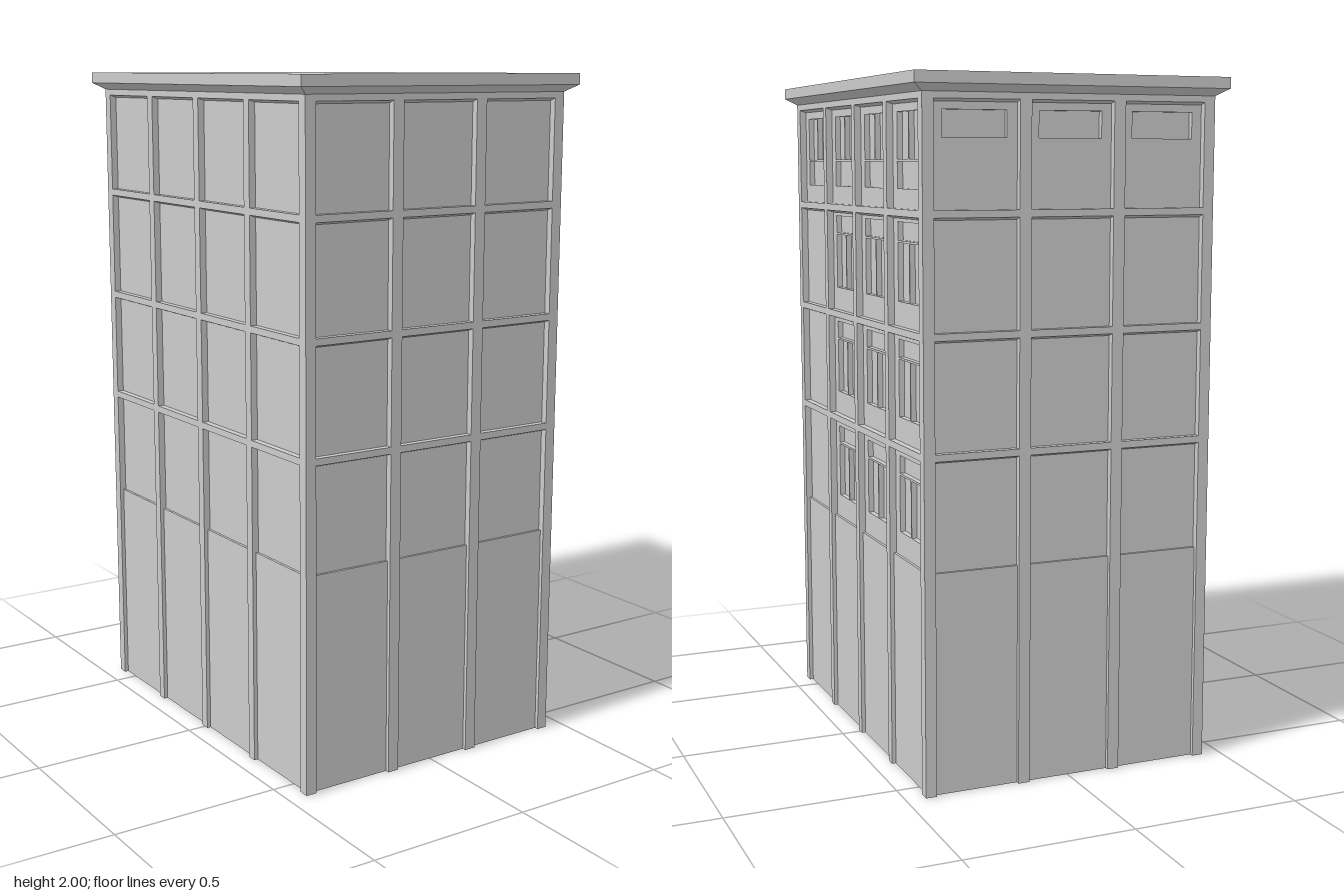
import * as THREE from 'three';
import { mergeGeometries } from 'three/addons/utils/BufferGeometryUtils.js';

const HALF_X = 0.443, HALF_Z = 0.587, WALL_TOP = 1.955;
const GROUND_DEPTH = 0.012, PANEL_DEPTH = 0.02, PANE_DEPTH = 0.036;
const GROUND_TOP = 0.64;
// bottom and top of the recessed panel on each upper floor
const FLOORS = [[GROUND_TOP, 0.955], [0.975, 1.285], [1.305, 1.615], [1.635, 1.93]];

const material = new THREE.MeshStandardMaterial({ color: 0xcccccc, side: THREE.DoubleSide, flatShading: true });

// A rectangle is [x0, y0, x1, y1] on the wall plane.
const corners = ([x0, y0, x1, y1]) => [[x0, y0], [x1, y0], [x1, y1], [x0, y1]];
const points = (r) => corners(r).map(([x, y]) => new THREE.Vector2(x, y));

// Flat face at a depth behind the wall plane, with rectangular openings
function face(rect, depth, openings = []) {
  const shape = new THREE.Shape(points(rect));
  openings.forEach((o) => shape.holes.push(new THREE.Path(points(o).reverse())));
  const g = new THREE.ShapeGeometry(shape).translate(0, 0, -depth).toNonIndexed();
  g.deleteAttribute('uv');
  return g;
}

// Sides of a recess (0 bottom, 1 right, 2 top, 3 left) from outer to inner rectangle
function reveal(outer, depthA, inner, depthB, sides = [0, 1, 2, 3]) {
  const o = corners(outer).map((p) => [...p, -depthA]);
  const n = corners(inner).map((p) => [...p, -depthB]);
  const pos = [];
  for (const i of sides) {
    const j = (i + 1) % 4;
    pos.push(...o[i], ...o[j], ...n[j], ...o[i], ...n[j], ...n[i]);
  }
  const g = new THREE.BufferGeometry();
  g.setAttribute('position', new THREE.Float32BufferAttribute(pos, 3));
  g.computeVertexNormals();
  return g;
}

// Two casements and a transom; the transom sits below on the top floor
function sashWindow(cx, floor) {
  const top = floor === 3;
  const y0 = FLOORS[floor][0] + (top ? 0.055 : 0.07);
  const [tall, short] = top ? [0.13, 0.075] : [0.165, 0.052];
  const tallY = top ? y0 + short + 0.006 : y0;
  const shortY = top ? y0 : y0 + tall + 0.006;
  return [
    [cx - 0.093, tallY, cx - 0.003, tallY + tall],
    [cx + 0.003, tallY, cx + 0.093, tallY + tall],
    [cx - 0.093, shortY, cx + 0.093, shortY + short],
  ];
}

// Low slot window under the cornice
const slotWindow = (cx) => [[cx - 0.095, 1.828, cx + 0.095, 1.902]];

// One facade in the xy plane facing +z
function facade(name, half, bays, bayWidth, gap, windowsAt) {
  const frame = [], ground = [], panels = [], windows = [];
  const span = bays * bayWidth + (bays - 1) * gap;
  const left = (i) => -span / 2 + i * (bayWidth + gap);

  // pilasters
  for (let i = 0; i <= bays; i++) {
    const x0 = i === 0 ? -half : left(i) - gap;
    const x1 = i === bays ? half : left(i);
    frame.push(face([x0, 0, x1, WALL_TOP], 0));
  }
  for (let i = 0; i < bays; i++) {
    const x0 = left(i), x1 = x0 + bayWidth;
    // ground floor bay
    const g = [x0, 0, x1, GROUND_TOP];
    ground.push(face(g, GROUND_DEPTH), reveal(g, 0, g, GROUND_DEPTH, [1, 3]));

    FLOORS.forEach(([y0, y1], f) => {
      // band above the panel
      frame.push(face([x0, y1, x1, f < 3 ? FLOORS[f + 1][0] : WALL_TOP], 0));
      // recessed panel with a slightly sloping head
      const outer = [x0, y0, x1, y1], inner = [x0, y0, x1, y1 - 0.007];
      const panes = windowsAt(i, f, (x0 + x1) / 2);
      panels.push(face(inner, PANEL_DEPTH, panes), reveal(outer, 0, inner, PANEL_DEPTH, [1, 2, 3]));
      const sill = f === 0 ? GROUND_DEPTH : 0;
      panels.push(reveal(outer, sill, inner, PANEL_DEPTH, [0]));
      // sunken panes
      panes.forEach((p) => windows.push(face(p, PANE_DEPTH), reveal(p, PANEL_DEPTH, p, PANE_DEPTH)));
    });
  }

  const group = new THREE.Group();
  group.name = name;
  const parts = { pilastersAndBands: frame, groundFloor: ground, wallPanels: panels, windows };
  for (const [partName, list] of Object.entries(parts)) {
    if (!list.length) continue;
    const mesh = new THREE.Mesh(mergeGeometries(list), material);
    mesh.name = partName;
    group.add(mesh);
  }
  return group;
}

export function createModel() {
  const model = new THREE.Group();
  model.name = 'building';
  const none = () => [];

  const front = facade('frontWall', HALF_X, 3, 0.25, 0.035, none);
  front.position.z = HALF_Z;

  const back = facade('backWall', HALF_X, 3, 0.25, 0.035, (i, f, cx) => (f === 3 ? slotWindow(cx) : []));
  back.rotation.y = Math.PI;
  back.position.z = -HALF_Z;

  // the bay nearest the front has a window on the top floor only
  const side = facade('windowSideWall', HALF_Z, 4, 0.255, 0.03,
    (i, f, cx) => (i > 0 || f === 3 ? sashWindow(cx, f) : []));
  side.rotation.y = Math.PI / 2;
  side.position.x = HALF_X;

  const plain = facade('plainSideWall', HALF_Z, 4, 0.255, 0.03, none);
  plain.rotation.y = -Math.PI / 2;
  plain.position.x = -HALF_X;

  // roof slab
  const slab = new THREE.Mesh(new THREE.BoxGeometry(0.95, 0.032, 1.234), material);
  slab.name = 'roofSlab';
  slab.position.y = 1.984;

  // tapered cornice under the slab
  const taper = new THREE.BoxGeometry(0.95, 0.02, 1.234);
  const p = taper.attributes.position;
  for (let i = 0; i < p.count; i++) {
    if (p.getY(i) < 0) p.setXYZ(i, Math.sign(p.getX(i)) * HALF_X, p.getY(i), Math.sign(p.getZ(i)) * HALF_Z);
  }
  taper.computeVertexNormals();
  const cornice = new THREE.Mesh(taper, material);
  cornice.name = 'cornice';
  cornice.position.y = 1.958;

  model.add(front, back, side, plain, slab, cornice);
  return model;
}
